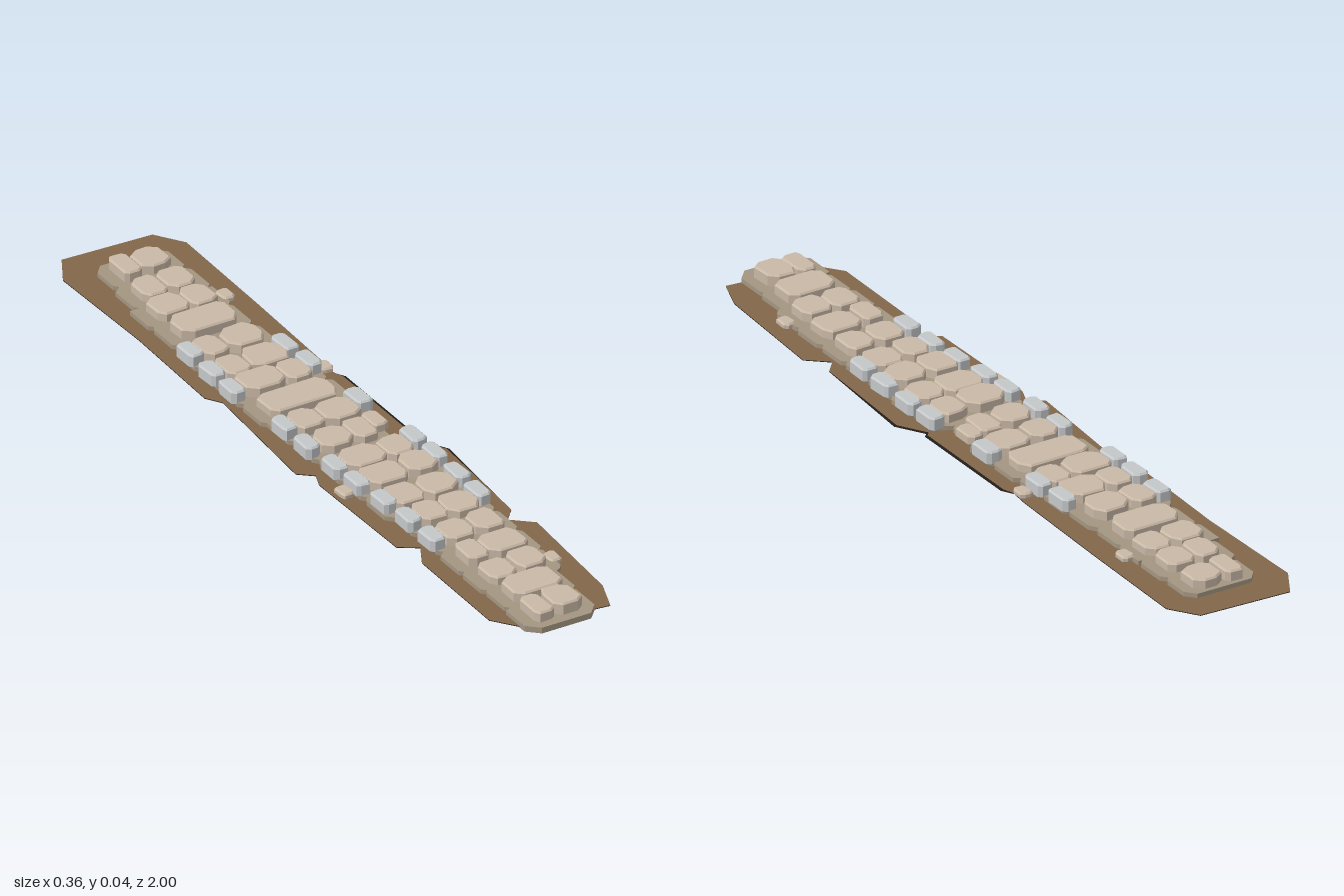
import * as THREE from 'three';

const mat = (name, color) => Object.assign(new THREE.MeshStandardMaterial({ color, flatShading: true }), { name });

// Courses from back to front: [z centre, left edge, split (9 = one slab), right edge, left kerb x, right kerb x] (0 = no kerb)
const ROWS = [
  [-.86, -.077, -.024, .056, 0, 0], [-.755, -.087, -.018, .06, 0, 0],
  [-.665, -.103, -.013, .06, 0, 0], [-.565, -.1, 9, .056, 0, 0],
  [-.453, -.108, -.04, .06, -.125, 0], [-.353, -.108, -.04, .065, -.128, .077],
  [-.262, -.108, 0, .071, -.13, .083], [-.162, -.108, 9, .077, 0, 0],
  [-.06, -.098, -.021, .077, -.115, .093], [.04, -.092, -.003, .058, -.115, 0],
  [.152, -.092, .018, .092, -.108, .111], [.24, -.087, .018, .098, -.103, .114],
  [.345, -.087, 0, .092, -.095, .111], [.44, -.071, .003, .092, -.087, .108],
  [.54, -.066, .016, .092, -.087, 0], [.643, -.071, -.013, .092, 0, 0],
  [.74, -.071, .005, .087, 0, 0], [.835, -.066, 9, .066, 0, 0],
  [.93, -.071, -.018, .06, 0, 0],
];

// Worn earth outline as [x, z]
const EARTH = [
  [-.135, -1], [.1, -.99], [.148, -.92], [.143, -.6], [.135, -.3], [.13, -.25], [.14, -.22],
  [.14, .1], [.13, .11], [.172, .18], [.156, .49], [.125, .525], [.176, .57], [.156, .89],
  [.125, .975], [.08, .97], [-.1, .95], [-.145, .89], [-.142, .59], [-.11, .53], [-.155, .5],
  [-.16, .17], [-.145, .13], [-.18, .1], [-.155, -.26], [-.18, -.3], [-.172, -.6], [-.18, -.92],
];

const outline = pts => new THREE.Shape(pts.map(([x, z]) => new THREE.Vector2(x, -z)));

export function createModel() {
  const group = new THREE.Group();
  const tan = mat('tanStone', 0xc9b8a6);
  const grey = mat('greyStone', 0xc4c7c9);
  const mortar = mat('mortarBed', 0xa39682);
  const earth = mat('brownEarth', 0x82674a);
  const under = mat('darkSoil', 0x241e1a);
  under.side = THREE.DoubleSide;

  let seed = 7;
  const rnd = () => (seed = (seed * 16807) % 2147483647) / 2147483647;

  const add = (name, geometry, material, y = 0) => {
    geometry.rotateX(-Math.PI / 2);
    const mesh = new THREE.Mesh(geometry, material);
    mesh.name = name;
    mesh.position.y = y;
    group.add(mesh);
  };

  // Irregular block with cut corners and a small worn edge
  const stone = (name, x0, x1, z0, z1, y0, y1, material) => {
    const b = .004;
    const [l, r, t, f] = [x0 + b, x1 - b, z0 + b, z1 - b];
    const cut = () => Math.min(r - l, f - t) * (.16 + .16 * rnd());
    const pts = [];
    for (const [cx, cz, sx, sz] of [[l, t, 1, 1], [r, t, -1, 1], [r, f, -1, -1], [l, f, 1, -1]]) {
      const a = [cx + sx * cut(), cz + sz * .003 * rnd()];
      const c = [cx + sx * .003 * rnd(), cz + sz * cut()];
      pts.push(...(sx === sz ? [c, a] : [a, c]));
    }
    const depth = y1 - y0 - 2 * b;
    add(name, new THREE.ExtrudeGeometry(outline(pts), {
      depth, bevelEnabled: true, bevelThickness: b, bevelSize: b, bevelSegments: 1,
    }), material, y0 + b);
  };

  // Earth strip with a dark underside
  add('earthStrip', new THREE.ShapeGeometry(outline(EARTH)), earth, .004);
  const soil = EARTH.map(([x, z]) => [x > .12 && Math.abs(z) < .25 ? x + .007 : x, z]);
  add('soilUnderside', new THREE.ShapeGeometry(outline(soil)), under, .002);

  // Mortar bed: its edge steps in and out with each course
  const left = [], right = [];
  ROWS.forEach(([z, x0, , x1], i) => {
    const l = x0 - .029, r = x1 + .026;
    const a = i === 0 ? z - .03 : z - .04;
    const b = i === ROWS.length - 1 ? z + .04 : z + .038;
    right.push([r, a], [r, b], [r - .01, z + .049]);
    left.push([l, a], [l, b], [l + .01, z + .049]);
  });
  const bedPts = [[-.085, -.915], [.06, -.915], ...right.slice(0, -1), [.06, .998],
    [-.07, .998], ...left.slice(0, -1).reverse()];
  add('mortarBed', new THREE.ExtrudeGeometry(outline(bedPts), { depth: .015, bevelEnabled: false }), mortar);

  // Paving slabs and grey kerb stones
  ROWS.forEach(([z, x0, split, x1, kl, kr], i) => {
    const top = () => .036 + .006 * rnd();
    const z0 = z - .046, z1 = z + .046;
    if (split === 9) stone('pavingSlab', x0, x1, z0, z1, .01, top(), tan);
    else {
      stone('pavingSlab', x0, split - .001, z0 + .006 * rnd(), z1, .01, top(), tan);
      stone('pavingSlab', split + .001, x1, z0, z1 - .006 * rnd(), .01, i === 18 ? .044 : top(), tan);
    }
    if (kl) stone('kerbStone', kl - .021, kl + .021, z - .036, z + .038, .008, .043, grey);
    if (kr) stone('kerbStone', kr - .021, kr + .021, z - .056, z + .02, .008, .043, grey);
  });
  stone('edgeSlab', .056, .098, -.015, .055, .01, .036, tan);

  // Loose small stones beside the path
  for (const [x, z] of [[.093, -.66], [.118, -.268], [-.135, .238], [.116, .735]])
    stone('looseStone', x - .018, x + .018, z - .024, z + .024, .003, .019, tan);

  return group;
}
